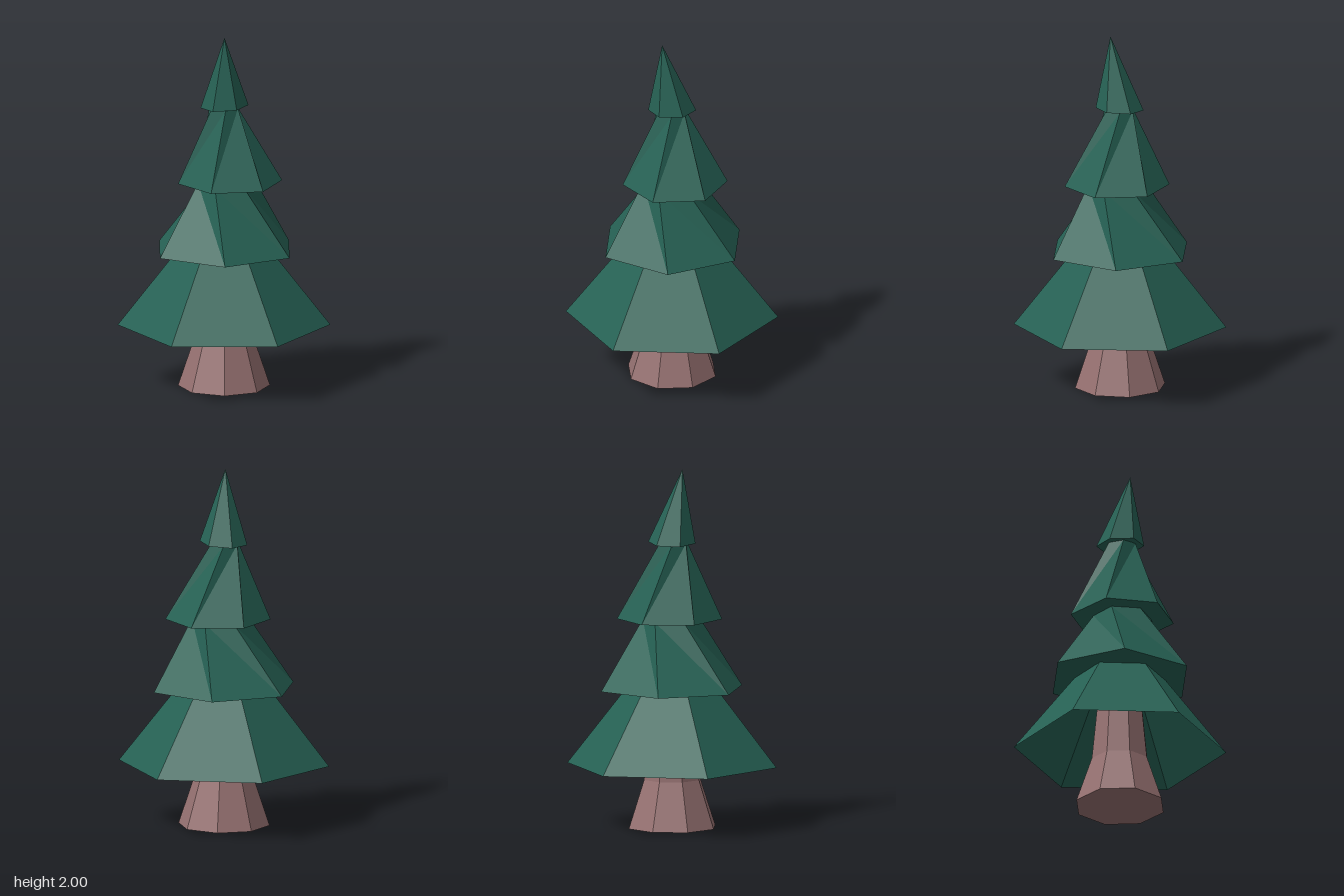
import * as THREE from 'three';

const needles = new THREE.MeshStandardMaterial({ color: 0x266154, side: THREE.DoubleSide });
needles.name = 'pine green';
const bark = new THREE.MeshStandardMaterial({ color: 0x967171 });
bark.name = 'bark brown';

// Regular ring of points; angle in degrees runs from +x towards +z.
// tiltX and tiltZ raise the ring along those axes.
function ring(sides, radius, y, angle, cx = 0, cz = 0, tiltX = 0, tiltZ = 0) {
  return Array.from({ length: sides }, (_, i) => {
    const t = THREE.MathUtils.degToRad(angle + (i * 360) / sides);
    const x = cx + radius * Math.cos(t), z = cz + radius * Math.sin(t);
    return new THREE.Vector3(x, y + tiltX * x + tiltZ * z, z);
  });
}

// Faceted skin through a stack of rings, listed from bottom to top.
function facetedMesh(name, material, rings, { cap = true, top = true, flip = false } = {}) {
  const pts = [];
  const fan = (r, up) => {
    for (let i = 1; i < r.length - 1; i++) {
      pts.push(r[0], ...(up ? [r[i + 1], r[i]] : [r[i], r[i + 1]]));
    }
  };
  for (let k = 0; k < rings.length - 1; k++) {
    const a = rings[k], b = rings[k + 1], n = a.length;
    for (let i = 0; i < n; i++) {
      const j = (i + 1) % n;
      if (b.length === 1) pts.push(a[i], b[0], a[j]);
      else if (flip) pts.push(a[i], b[i], b[j], a[i], b[j], a[j]);
      else pts.push(a[i], b[i], a[j], b[i], b[j], a[j]);
    }
  }
  if (cap) fan(rings[0], false);
  if (top) fan(rings[rings.length - 1], true);
  const geometry = new THREE.BufferGeometry().setFromPoints(pts);
  geometry.computeVertexNormals();
  const mesh = new THREE.Mesh(geometry, material);
  mesh.name = name;
  return mesh;
}

export function createModel() {
  const tree = new THREE.Group();
  tree.name = 'pineTree';

  // Eight-sided trunk flaring at the foot
  tree.add(facetedMesh('trunk', bark, [
    ring(8, 0.255, 0, -7),
    ring(8, 0.165, 0.27, -7),
    ring(8, 0.12, 0.72, -7),
  ]));

  // Widest skirt of branches, open underneath
  tree.add(facetedMesh('bottomBranches', needles, [
    ring(6, 0.59, 0.345, 8.5),
    ring(6, 0.255, 0.775, 8.5),
  ], { cap: false, top: false }));

  // Middle skirts, each narrowing with a twist
  tree.add(facetedMesh('lowerMiddleBranches', needles, [
    ring(6, 0.415, 0.775, 38.4, 0, -0.003),
    ring(6, 0.162, 1.16, 63.4, 0.015, -0.01),
  ], { flip: true }));
  tree.add(facetedMesh('upperMiddleBranches', needles, [
    ring(6, 0.292, 1.16, 0, 0.019, -0.028),
    ring(6, 0.085, 1.592, -28, 0.005, 0.005),
  ]));

  // Leaning tip with a slightly tilted rim
  tree.add(facetedMesh('treetop', needles, [
    ring(6, 0.133, 1.592, 8, 0.002, -0.002, 0.05, -0.04),
    [new THREE.Vector3(0.05, 2, 0.037)],
  ], { top: false }));

  return tree;
}
